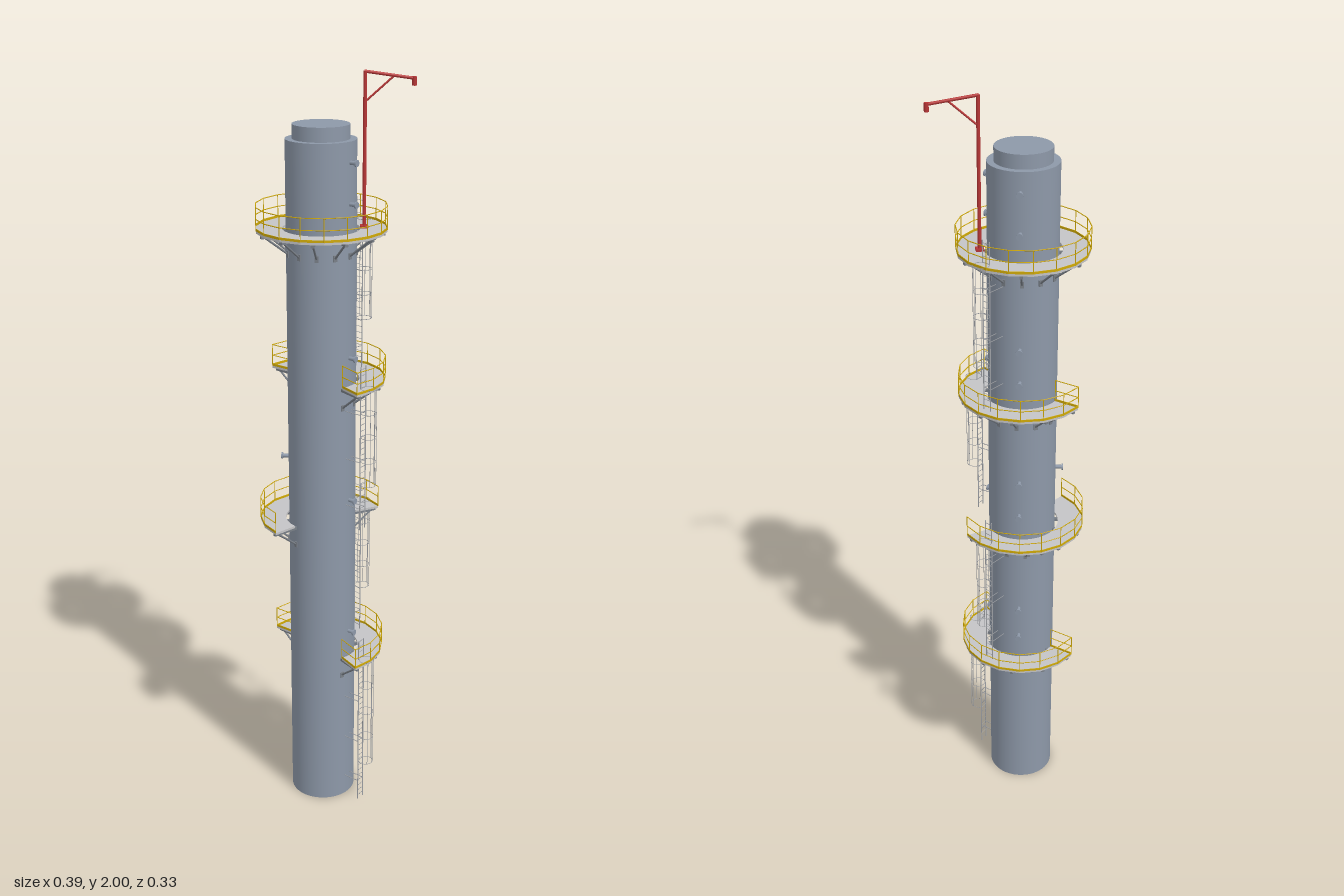
import * as THREE from 'three';
import { mergeGeometries } from 'three/addons/utils/BufferGeometryUtils.js';

const AXIS_X = -0.033, R = 0.088, DECK_IN = 0.097, DECK_OUT = 0.164;
const RAD = Math.PI / 180;

function material(name, color) {
  const m = new THREE.MeshStandardMaterial({ color });
  m.name = name;
  return m;
}

// point around the stack axis; 0 degrees is +x, 90 degrees is +z
const polar = (r, deg, y) =>
  new THREE.Vector3(r * Math.cos(deg * RAD), y, r * Math.sin(deg * RAD));

// round bar between two points
function bar(a, b, r, sides = 6) {
  const d = b.clone().sub(a);
  const g = new THREE.CylinderGeometry(r, r, d.length(), sides);
  g.applyQuaternion(new THREE.Quaternion().setFromUnitVectors(new THREE.Vector3(0, 1, 0), d.normalize()));
  const m = a.clone().add(b).multiplyScalar(0.5);
  return g.translate(m.x, m.y, m.z);
}

export function createModel() {
  const group = new THREE.Group();
  group.name = 'chimneyStack';
  const shell = material('stack grey', 0x8d98a8);
  const deckMat = material('deck grey', 0xc4c4c6);
  const steel = material('bracket steel', 0x7a8088);
  const galvanised = material('galvanised ladder', 0xa2a5aa);
  const yellow = material('railing yellow', 0xd0aa08);
  const red = material('davit red', 0xb83636);

  const stack = new THREE.Group();
  stack.name = 'stack';
  stack.position.x = AXIS_X;
  group.add(stack);
  const add = (parent, name, geo, mat) => {
    const mesh = new THREE.Mesh(geo, mat);
    mesh.name = name;
    parent.add(mesh);
  };

  // shell and raised cap
  add(stack, 'shell', new THREE.CylinderGeometry(R, R, 1.84, 48).translate(0, 0.92, 0), shell);
  add(stack, 'cap', new THREE.CylinderGeometry(0.071, 0.071, 0.04, 48).translate(0, 1.855, 0), shell);

  // ring or arc platform with railing and brackets
  function platform(y, start, span, endRails) {
    const p = new THREE.Group();
    p.name = 'platform';
    stack.add(p);
    const full = span === 360, n = span / 20;
    const angles = Array.from({ length: n + 1 }, (_, i) => start + i * 20);
    const ring = (r, list) => list.map(a => new THREE.Vector2(r * Math.cos(a * RAD), r * Math.sin(a * RAD)));
    const fine = Array.from({ length: 2 * n + 1 }, (_, i) => start + i * 10);
    let shape;
    if (full) {
      shape = new THREE.Shape(ring(DECK_OUT, angles.slice(0, -1)));
      shape.holes.push(new THREE.Path(ring(DECK_IN, fine.slice(0, -1))));
    } else {
      shape = new THREE.Shape([...ring(DECK_OUT, angles), ...ring(DECK_IN, fine).reverse()]);
    }
    const deck = new THREE.ExtrudeGeometry(shape, { depth: 0.006, bevelEnabled: false });
    add(p, 'deck', deck.rotateX(Math.PI / 2).translate(0, y, 0), deckMat);

    // posts, rails and toe board
    const rails = [], railTop = 0.058;
    const post = (r, a) => rails.push(bar(polar(r, a, y), polar(r, a, y + railTop), 0.0012, 6));
    const railRun = (a, b) => {
      for (const h of [railTop / 2, railTop]) {
        const up = new THREE.Vector3(0, h, 0);
        rails.push(bar(a.clone().add(up), b.clone().add(up), 0.0012, 6));
      }
      const d = b.clone().sub(a);
      const g = new THREE.BoxGeometry(d.length(), 0.006, 0.0014);
      g.rotateY(-Math.atan2(d.z, d.x));
      const m = a.clone().add(b).multiplyScalar(0.5);
      rails.push(g.translate(m.x, y + 0.003, m.z));
    };
    for (let i = 0; i < n; i++) {
      post(DECK_OUT, angles[i]);
      railRun(polar(DECK_OUT, angles[i], y), polar(DECK_OUT, angles[i + 1], y));
    }
    if (!full) post(DECK_OUT, start + span);
    if (endRails) {
      for (const a of [start, start + span]) {
        railRun(polar(DECK_OUT, a, y), polar(DECK_IN, a, y));
        post(DECK_IN, a);
      }
    }
    add(p, 'railing', mergeGeometries(rails), yellow);

    // cantilever beams with diagonal struts
    const count = full ? 12 : 7, parts = [];
    for (let i = 0; i < count; i++) {
      const a = full ? start + i * 30 : start + 4 + i * (span - 8) / 6;
      const beam = new THREE.BoxGeometry(0.073, 0.008, 0.008).translate(R + 0.035, y - 0.01, 0);
      parts.push(beam.rotateY(-a * RAD));
      parts.push(bar(polar(R - 0.002, a, y - 0.06), polar(0.148, a, y - 0.012), 0.0028));
      const pad = new THREE.BoxGeometry(0.004, 0.016, 0.01).translate(R + 0.001, y - 0.058, 0);
      parts.push(pad.rotateY(-a * RAD));
    }
    add(p, 'brackets', mergeGeometries(parts), steel);
  }

  // ladder with safety cage
  function ladder(bottom, deckY, deg) {
    const top = deckY + 0.058, parts = [];
    const dir = polar(1, deg, 0), side = new THREE.Vector3(-dir.z, 0, dir.x);
    const at = (r, s, y) => dir.clone().multiplyScalar(r).addScaledVector(side, s).setY(y);
    for (const s of [-0.011, 0.011]) parts.push(bar(at(0.134, s, bottom), at(0.134, s, top), 0.0016, 6));
    for (let y = bottom + 0.012; y < top; y += 0.0165)
      parts.push(bar(at(0.134, -0.011, y), at(0.134, 0.011, y), 0.0007, 4));
    // standoffs to the shell
    for (let y = bottom + 0.06; y < deckY; y += 0.13)
      for (const s of [-0.011, 0.011]) parts.push(bar(at(R - 0.002, s, y), at(0.134, s, y), 0.001, 4));
    // cage hoops and uprights
    const low = bottom + 0.13, c = at(0.152, 0, 0);
    for (let i = 0; i <= 4; i++) {
      const y = low + (deckY + 0.002 - low) * i / 4;
      parts.push(new THREE.TorusGeometry(0.02, 0.0008, 4, 20).rotateX(Math.PI / 2).translate(c.x, y, c.z));
    }
    for (const t of [-80, -40, 0, 40, 80]) {
      const r = 0.152 + 0.02 * Math.cos(t * RAD), s = 0.02 * Math.sin(t * RAD);
      parts.push(bar(at(r, s, low), at(r, s, deckY), 0.0007, 4));
    }
    add(stack, 'cagedLadder', mergeGeometries(parts), galvanised);
  }

  platform(1.621, 10, 360, false);
  platform(1.231, -140, 200, true);
  platform(0.841, -220, 200, false);
  platform(0.451, -140, 200, true);
  ladder(1.231, 1.621, -41);
  ladder(0.841, 1.231, 41);
  ladder(0.451, 0.841, -41);
  ladder(0, 0.451, 41);

  // flanged nozzles on the shell
  const nozzles = [];
  const nozzle = (y, deg) => {
    nozzles.push(bar(polar(R - 0.004, deg, y), polar(0.106, deg, y), 0.005, 10));
    nozzles.push(bar(polar(0.104, deg, y), polar(0.108, deg, y), 0.0085, 12));
  };
  for (const y of [1.69, 1.3, 0.91, 0.52]) for (const a of [-77, 39]) nozzle(y, a);
  for (const y of [1.79, 1.39, 1.01, 0.61]) nozzle(y, -77);
  nozzle(1.79, 39);
  nozzle(1.01, 190);
  add(stack, 'nozzles', mergeGeometries(nozzles), shell);

  // davit crane on the top platform
  const davit = new THREE.Group();
  davit.name = 'davitCrane';
  group.add(davit);
  const v = (x, y) => new THREE.Vector3(x, y, 0);
  add(davit, 'basePlate', new THREE.BoxGeometry(0.02, 0.006, 0.02).translate(0.073, 1.624, 0), red);
  add(davit, 'mast', bar(v(0.073, 1.6), v(0.073, 1.997), 0.0045, 12), red);
  add(davit, 'arm', bar(v(0.071, 1.996), v(0.19, 1.979), 0.0038, 10), red);
  add(davit, 'brace', bar(v(0.073, 1.925), v(0.142, 1.985), 0.0025, 8), red);
  add(davit, 'hookBlock', bar(v(0.191, 1.983), v(0.191, 1.962), 0.0058, 12), red);
  return group;
}
